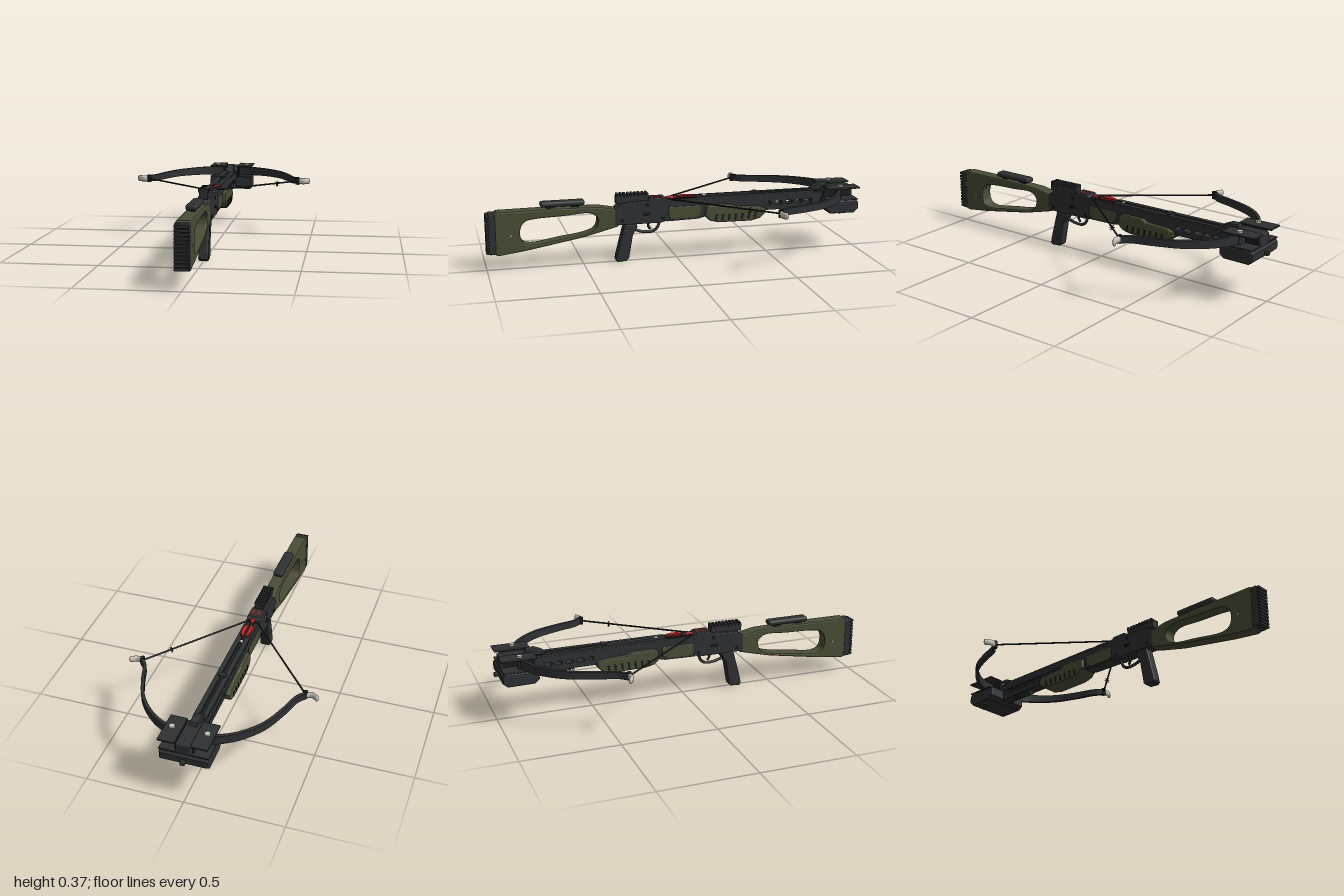
import * as THREE from 'three';
import { RoundedBoxGeometry } from 'three/addons/geometries/RoundedBoxGeometry.js';

const mat = (name, color) => Object.assign(new THREE.MeshStandardMaterial({ color }), { name });

export function createModel() {
  const root = new THREE.Group();
  root.name = 'crossbow';
  const black = mat('matte black', 0x2f3032);
  const dark = mat('deep black', 0x1c1c1e);
  const olive = mat('olive', 0x4a4d36);
  const pale = mat('pale grey', 0xc9c5b8);
  const steel = mat('steel', 0x8c8c8a);
  const red = mat('red', 0xc4221f);

  const add = (name, geo, material, x = 0, y = 0, z = 0) => {
    const m = new THREE.Mesh(geo, material);
    m.name = name;
    m.position.set(x, y, z);
    root.add(m);
    return m;
  };
  // box given by its ranges
  const box = (name, material, x0, x1, y0, y1, z0, z1, r = 0) => {
    const s = [x1 - x0, y1 - y0, z1 - z0];
    const geo = r ? new RoundedBoxGeometry(...s, 2, r) : new THREE.BoxGeometry(...s);
    return add(name, geo, material, (x0 + x1) / 2, (y0 + y1) / 2, (z0 + z1) / 2);
  };
  const vec = (pts) => pts.map((p) => new THREE.Vector2(...p));
  // side profile in (z, y), extruded across x and centred on it
  const profile = (name, material, pts, half, bevel = 0, holes = [], x = 0) => {
    const shape = new THREE.Shape(vec(pts));
    for (const h of holes) shape.holes.push(new THREE.Path(vec(h)));
    const depth = 2 * (half - bevel);
    const geo = new THREE.ExtrudeGeometry(shape, {
      depth, bevelEnabled: bevel > 0, bevelSize: bevel, bevelThickness: bevel, bevelOffset: -bevel, bevelSegments: 2,
    });
    geo.translate(0, 0, -depth / 2).rotateY(-Math.PI / 2);
    return add(name, geo, material, x);
  };
  const rod = (name, material, a, b, r0, r1 = r0, sides = 8) => {
    const p = new THREE.Vector3(...a), q = new THREE.Vector3(...b);
    const m = add(name, new THREE.CylinderGeometry(r1, r0, p.distanceTo(q), sides), material);
    m.position.copy(p).add(q).multiplyScalar(0.5);
    m.quaternion.setFromUnitVectors(new THREE.Vector3(0, 1, 0), q.sub(p).normalize());
    return m;
  };

  // skeleton stock with a rounded opening
  const opening = new THREE.CatmullRomCurve3([
    [0.825, 0.215], [0.80, 0.252], [0.75, 0.263], [0.60, 0.270], [0.46, 0.274], [0.427, 0.245],
    [0.437, 0.195], [0.48, 0.172], [0.62, 0.150], [0.78, 0.130], [0.818, 0.150],
  ].map(([z, y]) => new THREE.Vector3(z, y, 0)), true).getPoints(48).slice(0, -1).map((p) => [p.x, p.y]);
  profile('stock', olive, [
    [0.957, 0.30], [0.945, 0.31], [0.62, 0.312], [0.42, 0.307], [0.32, 0.288], [0.32, 0.196],
    [0.38, 0.180], [0.50, 0.150], [0.80, 0.098], [0.94, 0.08], [0.957, 0.088],
  ], 0.034, 0.007, [opening]);
  box('buttPad', black, -0.035, 0.035, 0.088, 0.303, 0.95, 0.985, 0.006);
  for (let i = 0; i < 12; i++) {
    const y = 0.092 + i * 0.0175;
    box('buttPadRib', black, -0.034, 0.034, y, y + 0.012, 0.975, 1.0);
  }
  rod('slingStud', steel, [-0.037, 0.185, 0.875], [0.037, 0.185, 0.875], 0.007);
  box('cheekRest', black, -0.028, 0.028, 0.318, 0.346, 0.49, 0.72, 0.012);
  for (const z of [0.54, 0.67]) box('cheekRestPost', dark, -0.015, 0.015, 0.295, 0.325, z - 0.02, z + 0.02);

  // receiver, sight rail and side screws
  profile('receiver', black, [
    [0.335, 0.21], [0.335, 0.29], [0.30, 0.318], [0.16, 0.325], [0.145, 0.338], [0.07, 0.338],
    [0.05, 0.32], [0.05, 0.215], [0.09, 0.203], [0.32, 0.203],
  ], 0.037, 0.005);
  box('sightRail', black, -0.022, 0.022, 0.315, 0.354, 0.155, 0.328);
  for (let i = 0; i < 9; i++) {
    const z = 0.157 + i * 0.0193;
    box('sightRailTooth', black, -0.027, 0.027, 0.348, 0.365, z, z + 0.012);
  }
  for (const [z, y] of [[0.165, 0.30], [0.30, 0.225], [0.08, 0.225]])
    rod('receiverPin', dark, [-0.041, y, z], [0.041, y, z], 0.009, 0.009, 12);
  box('safetyLever', dark, -0.047, 0.047, 0.25, 0.262, 0.15, 0.185, 0.004);

  // pistol grip, trigger and guard
  profile('pistolGrip', black, [
    [0.22, 0.205], [0.215, 0.185], [0.24, 0.14], [0.262, 0.015], [0.275, 0.003], [0.322, 0.0],
    [0.333, 0.012], [0.328, 0.04], [0.30, 0.15], [0.285, 0.205],
  ], 0.027, 0.009);
  const guard = new THREE.CatmullRomCurve3([[0.225, 0.165], [0.18, 0.152], [0.13, 0.152], [0.105, 0.17], [0.09, 0.21]]
    .map(([z, y]) => new THREE.Vector3(0, y, z)));
  add('triggerGuard', new THREE.TubeGeometry(guard, 24, 0.008, 8), black);
  const trigger = new THREE.CatmullRomCurve3([[0.145, 0.21], [0.155, 0.185], [0.143, 0.163]]
    .map(([z, y]) => new THREE.Vector3(0, y, z)));
  add('trigger', new THREE.TubeGeometry(trigger, 10, 0.006, 8), dark);

  // barrel with a grooved flight deck
  box('barrel', black, -0.035, 0.035, 0.285, 0.318, -0.80, 0.06);
  for (const s of [-1, 1]) {
    box('flightRail', black, s > 0 ? 0.009 : -0.034, s > 0 ? 0.034 : -0.009, 0.315, 0.330, -0.76, -0.10);
    box('rearRail', black, s > 0 ? 0.024 : -0.036, s > 0 ? 0.036 : -0.024, 0.312, 0.326, -0.10, 0.06);
  }
  box('flightGroove', dark, -0.01, 0.01, 0.317, 0.320, -0.79, 0.06);
  const slots = [[-0.487, -0.513], [-0.535, -0.575], [-0.595, -0.635], [-0.655, -0.69], [-0.705, -0.745]]
    .map(([a, b]) => [[a, 0.272], [a - 0.007, 0.282], [b, 0.282], [b - 0.006, 0.272], [b, 0.262], [a - 0.007, 0.262]]);
  profile('slottedForend', black, [
    [-0.12, 0.288], [-0.12, 0.24], [-0.48, 0.235], [-0.60, 0.235], [-0.80, 0.228], [-0.80, 0.288],
  ], 0.03, 0, slots);
  for (let i = 0; i < 7; i++) {
    const z = -0.715 + i * 0.0185;
    box('lowerRailTooth', black, -0.02, 0.02, 0.222, 0.238, z, z + 0.011);
  }

  // olive side panel and foregrip
  profile('middleFrame', black, [[0.06, 0.288], [0.06, 0.208], [-0.11, 0.212], [-0.16, 0.225], [-0.16, 0.288]], 0.034);
  profile('sidePanel', olive, [
    [0.052, 0.285], [0.052, 0.232], [0.035, 0.217], [-0.09, 0.217], [-0.122, 0.235], [-0.128, 0.285],
  ], 0.038, 0.004);
  profile('foregrip', olive, [
    [-0.15, 0.275], [-0.145, 0.225], [-0.17, 0.20], [-0.22, 0.188], [-0.40, 0.186], [-0.45, 0.198],
    [-0.478, 0.225], [-0.478, 0.25], [-0.45, 0.262], [-0.32, 0.268], [-0.29, 0.285], [-0.17, 0.285],
  ], 0.053, 0.008);
  for (const s of [-1, 1]) for (let i = 0; i < 7; i++) {
    const z = -0.20 - i * 0.036;
    profile('foregripSlot', dark, [[z, 0.232], [z - 0.012, 0.232], [z - 0.006, 0.198], [z + 0.004, 0.198]], 0.002, 0, [], s * 0.053);
  }

  // front riser and centre block
  profile('riser', black, [
    [-0.795, 0.285], [-0.795, 0.235], [-0.82, 0.215], [-0.955, 0.213], [-0.98, 0.235], [-0.98, 0.27], [-0.965, 0.287],
  ], 0.122, 0.008);
  box('centreBlock', black, -0.04, 0.04, 0.28, 0.345, -0.975, -0.80, 0.01);
  box('noseStud', black, -0.012, 0.012, 0.235, 0.255, -1.0, -0.97, 0.004);
  profile('frontSight', black, [[-0.735, 0.325], [-0.75, 0.345], [-0.79, 0.362], [-0.835, 0.362], [-0.85, 0.33]], 0.02, 0.004);

  // limb pockets, limbs, tips and string, mirrored
  const centreY = 0.318;
  for (const s of [-1, 1]) {
    const range = (a, b) => (s > 0 ? [a, b] : [-b, -a]);
    box('pocketTopPlate', black, ...range(0.038, 0.124), 0.345, 0.354, -0.985, -0.805, 0.003);
    box('pocketLowerPlate', black, ...range(0.038, 0.124), 0.284, 0.292, -0.975, -0.805, 0.003);
    box('pocketInnerWall', dark, ...range(0.036, 0.046), 0.288, 0.348, -0.96, -0.81);
    rod('pocketBolt', black, [s * 0.087, 0.207, -0.885], [s * 0.087, 0.354, -0.885], 0.009, 0.009, 12);
    rod('pocketBoltHead', pale, [s * 0.087, 0.352, -0.885], [s * 0.087, 0.363, -0.885], 0.014, 0.014, 16);

    const path = new THREE.CatmullRomCurve3([
      [0.03, -0.885], [0.10, -0.873], [0.20, -0.822], [0.30, -0.715], [0.36, -0.58], [0.395, -0.475], [0.428, -0.436],
    ].map(([x, z]) => new THREE.Vector3(s * x, z, 0)));
    const sides = [[], []];
    for (let i = 0; i <= 32; i++) {
      const p = path.getPoint(i / 32), t = path.getTangent(i / 32);
      sides.forEach((list, k) => {
        const d = (k ? -1 : 1) * 0.0085;
        list.push([p.x - t.y * d, p.y + t.x * d]);
      });
    }
    const outline = new THREE.Shape(vec([...sides[0], ...sides[1].reverse()]));
    const limb = new THREE.ExtrudeGeometry(outline, { depth: 1, bevelEnabled: false });
    limb.translate(0, 0, -0.5).rotateX(Math.PI / 2);
    const pos = limb.attributes.position;
    // height tapers from root to tip
    for (let i = 0; i < pos.count; i++) pos.setY(i, pos.getY(i) * (0.054 - 0.047 * Math.abs(pos.getX(i))));
    limb.computeVertexNormals();
    add('limb', limb, black, 0, centreY, 0);

    const tipPath = new THREE.CatmullRomCurve3([[0.418, -0.442], [0.435, -0.430], [0.457, -0.427], [0.483, -0.442]]
      .map(([x, z]) => new THREE.Vector3(s * x, 0, z)));
    const tip = new THREE.TubeGeometry(tipPath, 12, 0.0095, 10);
    const cap = new THREE.SphereGeometry(0.0095, 10, 8);
    for (const g of [tip, cap]) g.scale(1, 1.85, 1);
    add('limbTip', tip, pale, 0, centreY, 0);
    add('limbTipEnd', cap, pale, s * 0.483, centreY, -0.442);
    rod('stringLoop', dark, [s * 0.424, 0.298, -0.431], [s * 0.424, 0.338, -0.431], 0.012);
    rod('bowString', dark, [s * 0.424, centreY, -0.43], [s * 0.028, 0.325, 0.04], 0.0045);
  }
  rod('stringServing', dark, [-0.028, 0.325, 0.04], [0.028, 0.325, 0.04], 0.006);

  // small star-shaped string damper
  for (let i = 0; i < 4; i++) {
    const a = (i * Math.PI) / 4, c = Math.cos(a) * 0.014, h = Math.sin(a) * 0.016;
    rod('stringDamper', dark, [0.318 - c * 0.75, centreY - h, -0.305 - c * 0.65], [0.318 + c * 0.75, centreY + h, -0.305 + c * 0.65], 0.002, 0.002, 5);
  }

  // loaded bolt with red vanes
  rod('boltShaft', dark, [0, 0.328, 0.035], [0, 0.328, -0.42], 0.0075, 0.0075, 10);
  rod('boltPoint', steel, [0, 0.328, -0.42], [0, 0.328, -0.455], 0.008, 0.002, 10);
  box('boltRetainer', black, -0.02, 0.02, 0.318, 0.338, -0.445, -0.42);
  rod('boltBand', pale, [0, 0.328, -0.14], [0, 0.328, -0.155], 0.009, 0.009, 10);
  rod('boltNock', red, [0, 0.328, 0.02], [0, 0.328, 0.055], 0.009, 0.009, 10);
  for (const s of [-1, 1]) {
    const vane = new THREE.Shape(vec([[0, -0.105], [s * 0.016, -0.095], [s * 0.026, -0.06], [s * 0.026, -0.025], [s * 0.014, 0], [0, 0.005]]));
    const geo = new THREE.ExtrudeGeometry(vane, { depth: 0.004, bevelEnabled: false }).rotateX(Math.PI / 2);
    add('boltVane', geo, red, 0, 0.332, 0).rotation.z = s * 0.12;
    box('latchMark', red, s * 0.016 - 0.004, s * 0.016 + 0.004, 0.336, 0.34, 0.085, 0.13);
  }
  return root;
}
